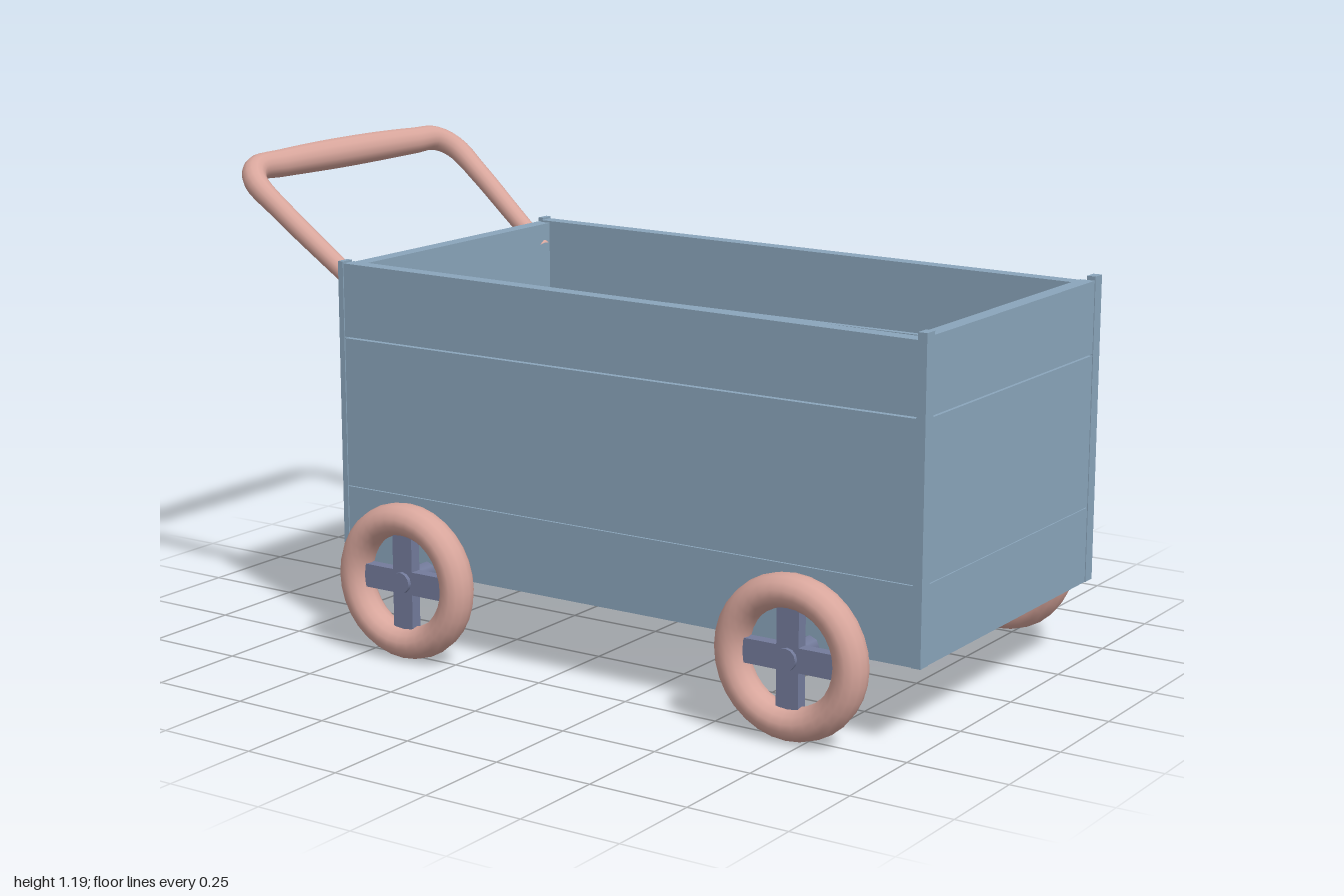
import * as THREE from 'three';

const blue = new THREE.MeshStandardMaterial({ name: 'paintedBoards', color: 0x8aa5bb });
const pink = new THREE.MeshStandardMaterial({ name: 'pinkWood', color: 0xd8a69c });
const metal = new THREE.MeshStandardMaterial({ name: 'slateMetal', color: 0x737b9b });

function add(parent, name, geometry, material, x = 0, y = 0, z = 0) {
  const mesh = new THREE.Mesh(geometry, material);
  mesh.name = name;
  mesh.position.set(x, y, z);
  parent.add(mesh);
  return mesh;
}

// Box given by its lower and upper corners
function slab(parent, name, material, a, b) {
  return add(parent, name, new THREE.BoxGeometry(b[0] - a[0], b[1] - a[1], b[2] - a[2]), material,
    (a[0] + b[0]) / 2, (a[1] + b[1]) / 2, (a[2] + b[2]) / 2);
}

// Horizontal plank levels, leaving thin seams
const levels = [[0.2, 0.387], [0.389, 0.763], [0.767, 0.945]];

function createBox() {
  const box = new THREE.Group();
  box.name = 'cargoBox';
  for (const s of [-1, 1]) {
    levels.forEach(([y0, y1], i) => {
      // Long side planks; the top one slopes down slightly towards +x
      const plank = slab(box, 'sidePlank', blue, [-0.63, y0, s * 0.412 - 0.02], [0.972, y1, s * 0.412 + 0.02]);
      if (i === 2) {
        const p = plank.geometry.attributes.position;
        for (let k = 0; k < p.count; k++) {
          if (p.getY(k) > 0) p.setY(k, p.getY(k) + (p.getX(k) < 0 ? 0.005 : -0.008));
        }
        plank.geometry.computeVertexNormals();
      }
    });
    // Corner strips covering the plank ends
    for (const [x0, x1] of [[-0.645, -0.63], [0.972, 0.995]]) {
      slab(box, 'cornerStrip', blue, [x0, 0.2, s * 0.4175 - 0.0175], [x1, 0.955, s * 0.4175 + 0.0175]);
    }
  }
  // End planks
  for (const [x0, x1] of [[-0.643, -0.603], [0.955, 0.993]]) {
    for (const [y0, y1] of levels) slab(box, 'endPlank', blue, [x0, y0, -0.4], [x1, y1, 0.4]);
  }
  // Floor planks
  for (let i = 0; i < 4; i++) {
    const z = -0.392 + i * 0.197;
    slab(box, 'floorPlank', blue, [-0.61, 0.197, z], [0.965, 0.232, z + 0.191]);
  }
  return box;
}

function createWheel() {
  const wheel = new THREE.Group();
  wheel.name = 'wheel';
  const tyre = new THREE.TorusGeometry(0.155, 0.04, 14, 32);
  tyre.scale(1, 1, 1.12);
  add(wheel, 'tyre', tyre, pink);
  // Crossed spokes and hub
  add(wheel, 'spoke', new THREE.BoxGeometry(0.26, 0.058, 0.03), metal);
  add(wheel, 'spoke', new THREE.BoxGeometry(0.058, 0.26, 0.03), metal);
  const hub = new THREE.CylinderGeometry(0.026, 0.026, 0.05, 12);
  hub.rotateX(Math.PI / 2);
  add(wheel, 'hub', hub, metal);
  return wheel;
}

function createHandle() {
  const half = [[-0.61, 0.878, 0.375], [-0.72, 0.963, 0.39], [-0.84, 1.058, 0.405],
    [-0.925, 1.125, 0.405], [-0.958, 1.151, 0.365], [-0.963, 1.154, 0.26]];
  const points = [...half, [-0.965, 1.155, 0], ...half.map(([x, y, z]) => [x, y, -z]).reverse()];
  const curve = new THREE.CatmullRomCurve3(points.map((p) => new THREE.Vector3(...p)));
  const rings = 90, sides = 14;
  const geometry = new THREE.TubeGeometry(curve, rings, 1, sides);
  // Swell the grip in the middle and taper towards the box
  const pos = geometry.attributes.position, v = new THREE.Vector3();
  for (let i = 0; i <= rings; i++) {
    const c = curve.getPointAt(i / rings);
    const t = Math.abs(i / rings - 0.5) * 2;
    const radius = 0.027 + 0.013 * Math.cos(Math.min(t / 0.6, 1) * Math.PI / 2) - 0.004 * Math.max(0, t - 0.6) / 0.4;
    for (let j = 0; j <= sides; j++) {
      const k = i * (sides + 1) + j;
      v.fromBufferAttribute(pos, k).sub(c).multiplyScalar(radius).add(c);
      pos.setXYZ(k, v.x, v.y, v.z);
    }
  }
  const handle = new THREE.Mesh(geometry, pink);
  handle.name = 'pushHandle';
  handle.position.z = 0.01;
  return handle;
}

export function createModel() {
  const cart = new THREE.Group();
  cart.name = 'pushCart';
  const box = createBox();
  box.position.z = 0.003;
  cart.add(box, createHandle());

  // Axles, each with a pair of wheels
  for (const x of [-0.385, 0.71]) {
    const axle = new THREE.CylinderGeometry(0.026, 0.026, 1.04, 8);
    axle.rotateX(Math.PI / 2);
    add(cart, 'axle', axle, metal, x, 0.204, 0);
    for (const s of [-1, 1]) {
      const wheel = createWheel();
      wheel.position.set(x, 0.2, s * 0.517);
      cart.add(wheel);
    }
  }
  return cart;
}
